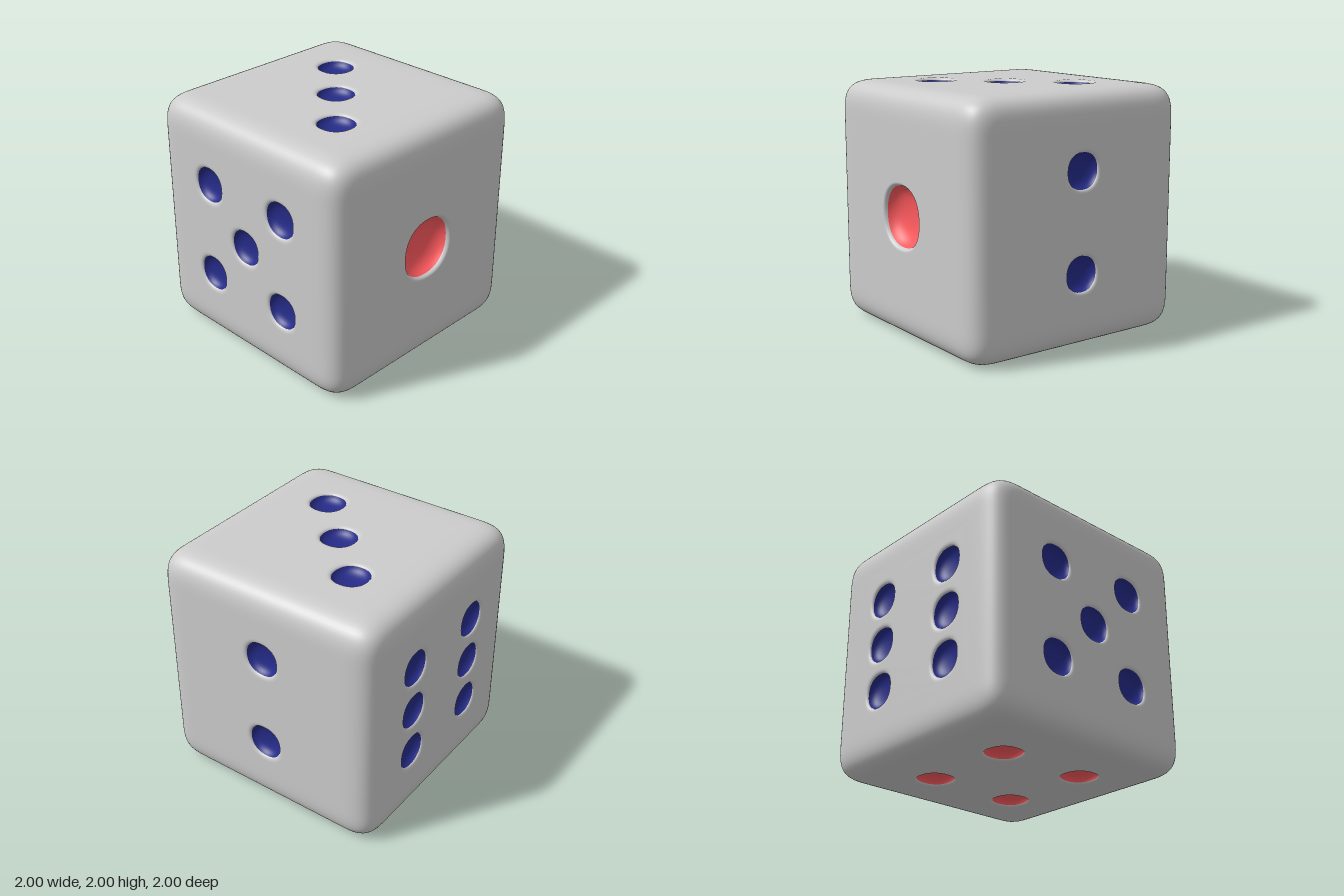
import * as THREE from 'three';

const FLAT = 0.68;        // half size of the flat part of each face
const ROUND = 0.32;       // reach of the rounded edges
const POWER = 3.7;        // softness of the rounded edges
const SEGMENTS = 48;      // sides of each pip

const grey = new THREE.MeshStandardMaterial({ color: 0xcccccc });
const red = new THREE.MeshStandardMaterial({ color: 0xff5a5e });
const blue = new THREE.MeshStandardMaterial({ color: 0x252b88 });

// Slightly squared circle: factor on the radius at an angle
const squarish = (a) =>
  Math.pow(Math.abs(Math.cos(a)) ** 2.26 + Math.abs(Math.sin(a)) ** 2.26, -1 / 2.26);

// Rounded edges and corners, left open where the flat faces go
function shellGeometry() {
  const geo = new THREE.BoxGeometry(2, 2, 2, 50, 50, 50);
  const pos = geo.attributes.position, nor = geo.attributes.normal;
  const p = new THREE.Vector3(), q = new THREE.Vector3(), r = new THREE.Vector3();
  const kept = [], index = geo.index.array;
  for (let i = 0; i < index.length; i += 3) {
    p.fromBufferAttribute(pos, index[i]);
    p.add(q.fromBufferAttribute(pos, index[i + 1])).add(r.fromBufferAttribute(pos, index[i + 2]));
    const inside = p.toArray().filter((v) => Math.abs(v / 3) < FLAT).length;
    if (inside < 2) kept.push(index[i], index[i + 1], index[i + 2]);
  }
  geo.setIndex(kept);
  for (let i = 0; i < pos.count; i++) {
    p.fromBufferAttribute(pos, i);
    const core = p.clone().clampScalar(-FLAT, FLAT);
    const d = p.sub(core).toArray();
    const size = d.reduce((s, v) => s + Math.abs(v) ** POWER, 0) ** (1 / POWER);
    const e = d.map((v) => (v * ROUND) / size);
    pos.setXYZ(i, core.x + e[0], core.y + e[1], core.z + e[2]);
    q.set(...e.map((v) => Math.sign(v) * Math.abs(v / ROUND) ** (POWER - 1))).normalize();
    nor.setXYZ(i, q.x, q.y, q.z);
  }
  return geo;
}

// Dish turned from a profile, squared a little and facing +z
function dishGeometry(curve, divisions) {
  const geo = new THREE.LatheGeometry(curve.getPoints(divisions), SEGMENTS);
  const pos = geo.attributes.position;
  for (let i = 0; i < pos.count; i++) {
    const x = pos.getX(i), z = pos.getZ(i);
    const k = squarish(Math.atan2(z, x));
    pos.setXYZ(i, x * k, pos.getY(i), z * k);
  }
  return geo.rotateX(Math.PI / 2);
}

// Hollow pip: grey rolled lip and coloured bowl
function createPip(radius, lip, material) {
  const v = (x, y) => new THREE.Vector2(x * radius, y * radius);
  const lipCurve = new THREE.QuadraticBezierCurve(v(lip, 0), v(1.04, 0), v(1, -0.12));
  const bowlCurve = new THREE.CubicBezierCurve(v(1, -0.12), v(0.87, -0.46), v(0.5, -0.55), v(0, -0.55));
  const pip = new THREE.Group();
  pip.name = 'pip';
  const rim = new THREE.Mesh(dishGeometry(lipCurve, 8), grey);
  rim.name = 'pipLip';
  const bowl = new THREE.Mesh(dishGeometry(bowlCurve, 14), material);
  bowl.name = 'pipBowl';
  pip.add(rim, bowl);
  return pip;
}

// Flat face with a hole for each pip
function createFace({ name, rotation, spots, material, radius = 0.143, lip = 1.28 }) {
  const face = new THREE.Group();
  face.name = name;
  const shape = new THREE.Shape([[-1, -1], [1, -1], [1, 1], [-1, 1]]
    .map(([x, y]) => new THREE.Vector2(x * FLAT, y * FLAT)));
  for (const [x, y] of spots) {
    const outline = Array.from({ length: SEGMENTS }, (_, i) => {
      const a = (i / SEGMENTS) * Math.PI * 2, r = radius * lip * squarish(a);
      return new THREE.Vector2(x + r * Math.cos(a), y + r * Math.sin(a));
    });
    shape.holes.push(new THREE.Path(outline));
    const pip = createPip(radius, lip, material);
    pip.position.set(x, y, 1);
    face.add(pip);
  }
  const panel = new THREE.Mesh(new THREE.ShapeGeometry(shape), grey);
  panel.name = name + 'Panel';
  panel.position.z = 1;
  face.add(panel);
  face.rotation.set(...rotation);
  return face;
}

export function createModel() {
  const die = new THREE.Group();
  die.name = 'die';
  const body = new THREE.Group();
  body.name = 'body';
  body.position.y = 1;
  die.add(body);

  const shell = new THREE.Mesh(shellGeometry(), grey);
  shell.name = 'roundedEdges';
  body.add(shell);

  const s = 0.4, h = Math.PI / 2;
  const corners = [[-s, -s], [s, -s], [s, s], [-s, s]];
  const faces = [
    { name: 'frontFace', rotation: [0, 0, 0], spots: [[0, 0]], material: red, radius: 0.244, lip: 1.12 },
    { name: 'leftFace', rotation: [0, h, 0], spots: [[0, s], [0, -s]], material: blue },
    { name: 'topFace', rotation: [-h, 0, 0], spots: [[s, s], [0, 0], [-s, -s]], material: blue },
    { name: 'bottomFace', rotation: [h, 0, 0], spots: corners, material: red },
    { name: 'rightFace', rotation: [0, -h, 0], spots: [...corners, [0, 0]], material: blue },
    { name: 'backFace', rotation: [0, 2 * h, 0], spots: [...corners, [-s, 0], [s, 0]], material: blue },
  ];
  for (const f of faces) body.add(createFace(f));
  return die;
}
